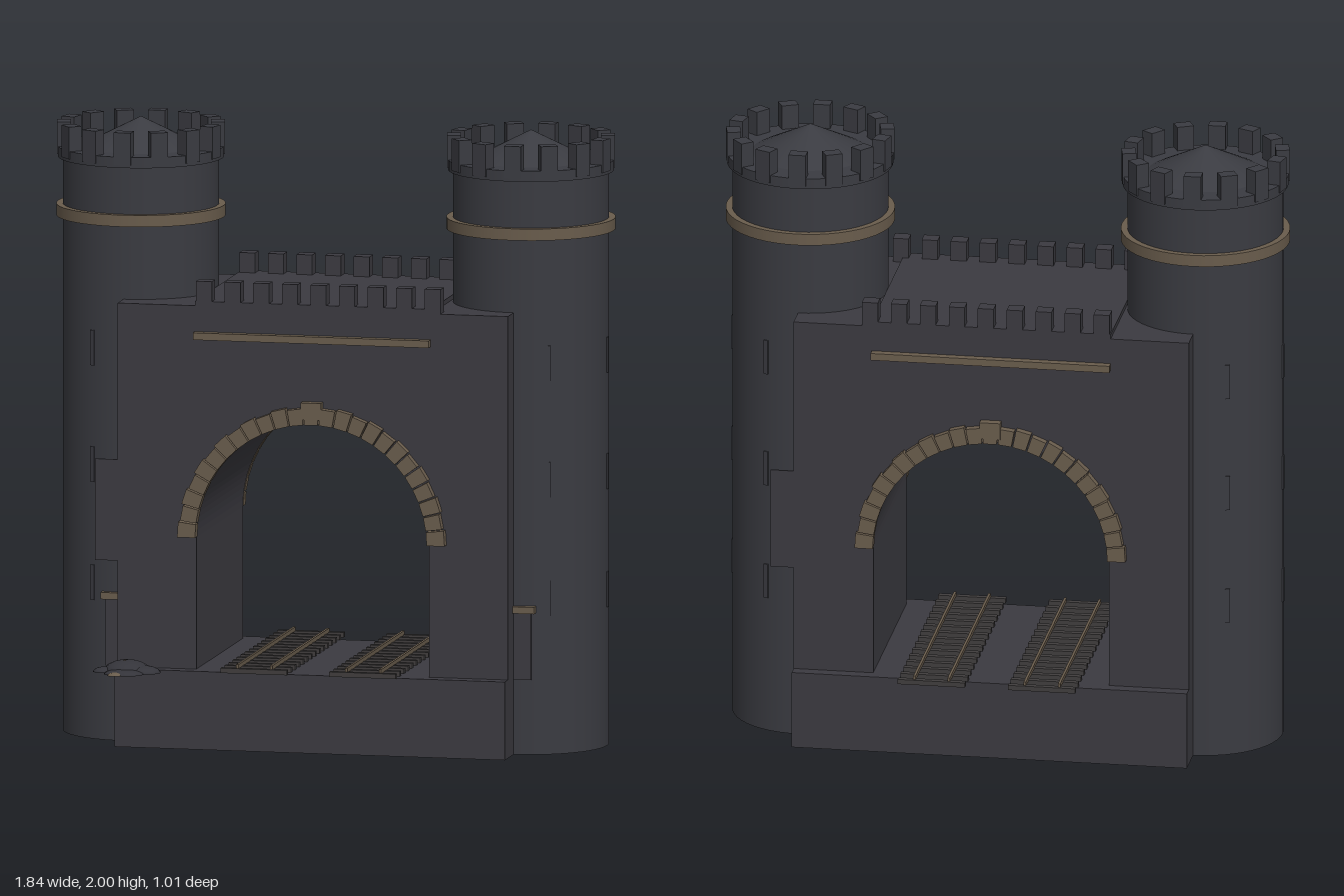
import * as THREE from 'three';

const mat = (name, color, side = THREE.FrontSide) => {
  const m = new THREE.MeshStandardMaterial({ color, side });
  m.name = name;
  return m;
};

export function createModel() {
  const stone = mat('dark stone', 0x3b3a40);
  const towerStone = mat('tower stone', 0x3a3b41);
  const trim = mat('tan trim', 0x695c4c);
  const rubbleMat = mat('rubble', 0x34343a);
  const sleeperMat = mat('sleeper', 0x403d3d);

  const model = new THREE.Group();
  model.name = 'gatehouse';

  const add = (parent, name, geo, material, x = 0, y = 0, z = 0) => {
    const mesh = new THREE.Mesh(geo, material);
    mesh.name = name;
    mesh.position.set(x, y, z);
    parent.add(mesh);
    return mesh;
  };
  // box given by its limits on each axis
  const block = (parent, name, material, [x0, x1], [y0, y1], [z0, z1]) =>
    add(parent, name, new THREE.BoxGeometry(x1 - x0, y1 - y0, z1 - z0), material,
      (x0 + x1) / 2, (y0 + y1) / 2, (z0 + z1) / 2);

  const front = 0.265, back = -0.41, floor = 0.255, spring = 0.685, radius = 0.385;

  // plinth
  block(model, 'plinth', stone, [-0.645, 0.645], [0, floor], [-0.45, 0.31]);

  // gate wall with a vaulted passage
  const wall = new THREE.Shape();
  wall.moveTo(-0.645, floor);
  wall.lineTo(-radius, floor);
  wall.lineTo(-radius, spring);
  wall.absarc(0, spring, radius, Math.PI, 0, true);
  wall.lineTo(radius, floor);
  wall.lineTo(0.645, floor);
  wall.lineTo(0.645, 1.44);
  wall.lineTo(-0.645, 1.44);
  wall.closePath();
  add(model, 'gateWall', new THREE.ExtrudeGeometry(wall,
    { depth: front - back, bevelEnabled: false, curveSegments: 28 }), stone, 0, 0, back);
  block(model, 'roofSlab', stone, [-0.39, 0.39], [1.43, 1.455], [back, front]);

  // wall merlons along both edges
  for (let i = 0; i < 9; i++) {
    const x = -0.36 + i * 0.0945;
    block(model, 'frontMerlon', stone, [x - 0.026, x + 0.026], [1.43, 1.52], [front - 0.05, front]);
    block(model, 'backMerlon', stone, [x - 0.026, x + 0.026], [1.43, 1.52], [back, back + 0.05]);
  }

  // arch stones, keystone and string course on each face
  const count = 25;
  for (const [side, z0, z1] of [['front', front - 0.005, 0.295], ['back', -0.437, back + 0.005]]) {
    const arch = new THREE.Group();
    arch.name = side + 'Arch';
    model.add(arch);
    for (let i = 0; i < count; i++) {
      const a = (i * Math.PI) / count + 0.006, b = ((i + 1) * Math.PI) / count - 0.006;
      const outer = i % 2 ? 0.436 : 0.442;
      const s = new THREE.Shape();
      s.moveTo(Math.cos(a) * 0.383, Math.sin(a) * 0.383);
      s.lineTo(Math.cos(a) * outer, Math.sin(a) * outer);
      s.lineTo(Math.cos(b) * outer, Math.sin(b) * outer);
      s.lineTo(Math.cos(b) * 0.383, Math.sin(b) * 0.383);
      s.closePath();
      add(arch, 'archStone', new THREE.ExtrudeGeometry(s,
        { depth: z1 - z0, bevelEnabled: false }), trim, 0, spring, z0);
    }
    block(arch, 'keystone', trim, [-0.034, 0.034], [1.085, 1.14], [z0 - 0.002, z1 + 0.002]);
    block(model, side + 'StringCourse', trim, [-0.39, 0.39], [1.333, 1.356], [z0, z1]);
  }

  // flat panels projecting from opposite corners of the wall
  block(model, 'frontPanel', stone, [-0.72, -0.64], [0.6, 0.93], [front - 0.005, front]);
  block(model, 'backPanel', stone, [0.64, 0.72], [0.6, 0.93], [back, back + 0.005]);

  // round towers
  for (const side of [1, -1]) {
    const tower = new THREE.Group();
    tower.name = side > 0 ? 'leftTower' : 'rightTower';
    tower.position.set(side * 0.645, 0, -0.07);
    model.add(tower);
    add(tower, 'shaft', new THREE.CylinderGeometry(0.252, 0.252, 1.88, 48), towerStone, 0, 0.94, 0);
    add(tower, 'band', new THREE.CylinderGeometry(0.273, 0.273, 0.038, 48), trim, 0, 1.698, 0);
    add(tower, 'parapet', new THREE.CylinderGeometry(0.268, 0.268, 0.035, 48), towerStone, 0, 1.8875, 0);
    add(tower, 'roofCone', new THREE.ConeGeometry(0.19, 0.095, 32), towerStone, 0, 1.9525, 0);
    for (let i = 0; i < 14; i++) {
      const a = (i * Math.PI * 2) / 14;
      const m = add(tower, 'towerMerlon', new THREE.BoxGeometry(0.056, 0.105, 0.045), towerStone,
        Math.sin(a) * 0.248, 1.9325, Math.cos(a) * 0.248);
      m.rotation.y = a;
    }
    // arrow slits on the outer half
    for (const y of [0.51, 0.895, 1.275]) {
      for (const a of [-1.13, 0, 1.13]) {
        const slit = add(tower, 'arrowSlit', new THREE.BoxGeometry(0.008, 0.115, 0.016), towerStone,
          side * Math.cos(a) * 0.252, y, Math.sin(a) * 0.252);
        slit.rotation.y = side > 0 ? -a : a;
      }
    }
    // small capped buttress beside the wall
    const bx = (a, b) => (side > 0 ? [a, b] : [-b, -a]);
    block(model, 'buttress', stone, bx(0.64, 0.703), [floor - 0.01, 0.465], [0.1, 0.187]);
    block(model, 'buttressCap', trim, bx(0.64, 0.717), [0.462, 0.484], [0.1, 0.2]);
  }

  // two railway tracks through the passage
  for (const cx of [-0.18, 0.18]) {
    const track = new THREE.Group();
    track.name = 'track';
    model.add(track);
    for (let i = 0; i < 15; i++) {
      const z = -0.498 + i * 0.0587;
      block(track, 'sleeper', sleeperMat, [cx - 0.11, cx + 0.11], [floor + 0.001, 0.272], [z - 0.01, z + 0.01]);
    }
    for (const dx of [-0.056, 0.056]) {
      block(track, 'rail', trim, [cx + dx - 0.004, cx + dx + 0.004], [0.27, 0.284], [-0.5, 0.325]);
    }
  }

  // low heap of rubble at the corner of the plinth
  const heap = new THREE.Group();
  heap.name = 'rubbleHeap';
  model.add(heap);
  const lump = (material, x, z, rx, h, rz) => {
    const geo = new THREE.SphereGeometry(1, 16, 6, 0, Math.PI * 2, 0, Math.PI / 2);
    const cap = new THREE.CircleGeometry(1, 16).rotateX(Math.PI / 2);
    for (const g of [geo, cap]) add(heap, 'lump', g, material, x, 0.258, z).scale.set(rx, h, rz);
  };
  lump(rubbleMat, -0.59, 0.372, 0.075, 0.037, 0.08);
  lump(rubbleMat, -0.53, 0.39, 0.055, 0.022, 0.05);
  lump(rubbleMat, -0.655, 0.4, 0.04, 0.016, 0.035);
  lump(rubbleMat, -0.585, 0.44, 0.065, 0.015, 0.05);
  lump(trim, -0.605, 0.478, 0.025, 0.01, 0.022);
  lump(trim, -0.595, 0.382, 0.012, 0.039, 0.012);

  return model;
}
